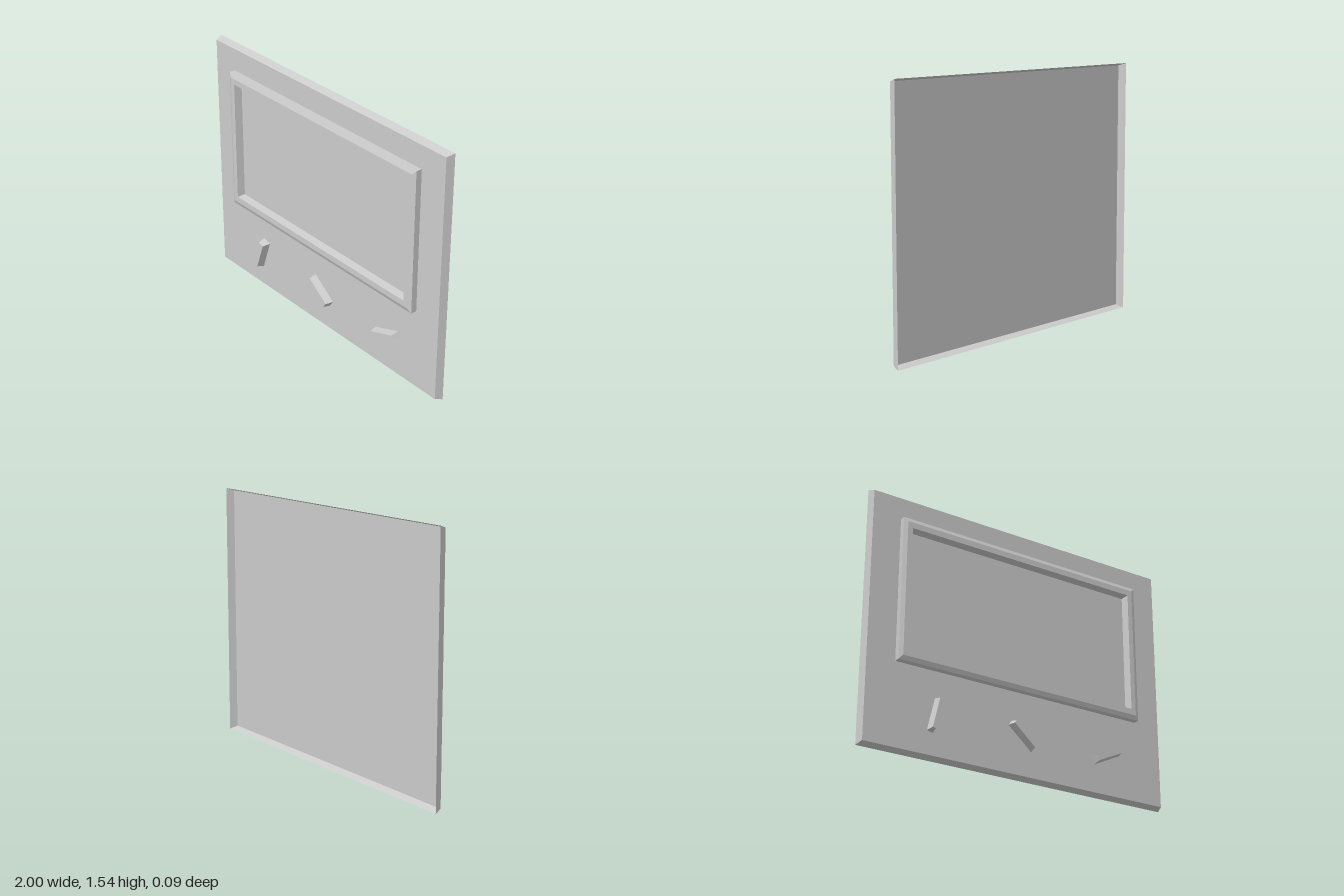
import * as THREE from 'three';

// Skin a stack of equal-length counter-clockwise rings; optionally close the last one.
function loft(rings, capFront) {
  const pos = [];
  const tri = (a, b, c) => pos.push(...a, ...b, ...c);
  const n = rings[0].length;
  for (let r = 0; r < rings.length - 1; r++) {
    const a = rings[r], b = rings[r + 1];
    for (let i = 0; i < n; i++) {
      const j = (i + 1) % n;
      tri(a[i], a[j], b[j]);
      tri(a[i], b[j], b[i]);
    }
  }
  if (capFront) {
    const e = rings[rings.length - 1];
    for (let i = 1; i < n - 1; i++) tri(e[0], e[i], e[i + 1]);
  }
  const geo = new THREE.BufferGeometry();
  geo.setAttribute('position', new THREE.Float32BufferAttribute(pos, 3));
  geo.computeVertexNormals();
  return geo;
}

// Rectangle ring from half sizes at a given depth
const rect = ([hx, hy, z]) => [[-hx, -hy, z], [hx, -hy, z], [hx, hy, z], [-hx, hy, z]];

// Wedge-shaped ring, wide at the bottom and narrow at the top
const wedge = (inset, z) => {
  const w = 0.029 - inset, t = 0.0185 - inset, l = 0.1 - inset;
  return [[-w, -l, z], [w, -l, z], [t, l, z], [-t, l, z]];
};

export function createModel() {
  const group = new THREE.Group();
  const material = new THREE.MeshStandardMaterial({
    color: 0xcccccc, flatShading: true, side: THREE.DoubleSide,
  });
  const add = (name, geo, x, y, turn = 0) => {
    const mesh = new THREE.Mesh(geo, material);
    mesh.name = name;
    mesh.position.set(x, y, 0);
    mesh.rotation.z = turn;
    group.add(mesh);
  };

  // Backing panel: shallow tray with flared walls, open at the rear
  add('panel', loft([[1, 0.772, -0.047], [0.985, 0.757, 0]].map(rect), true), 0, 0.772);

  // Raised screen surround: outer wall, bevel, flat face, tapered inner wall
  const profile = [
    [0.81, 0.44, 0], [0.81, 0.44, 0.037], [0.787, 0.415, 0.047],
    [0.756, 0.379, 0.047], [0.746, 0.371, 0],
  ];
  add('screenFrame', loft(profile.map(rect), false), 0, 0.951);

  // Three pointer knobs, each turned to a different angle
  const knob = loft([wedge(0, 0), wedge(0.009, 0.047)], true);
  add('rightKnob', knob, -0.557, 0.246, 2.863);
  add('middleKnob', knob, 0.008, 0.253, 0.9);
  add('leftKnob', knob, 0.585, 0.249, -1.174);

  return group;
}
